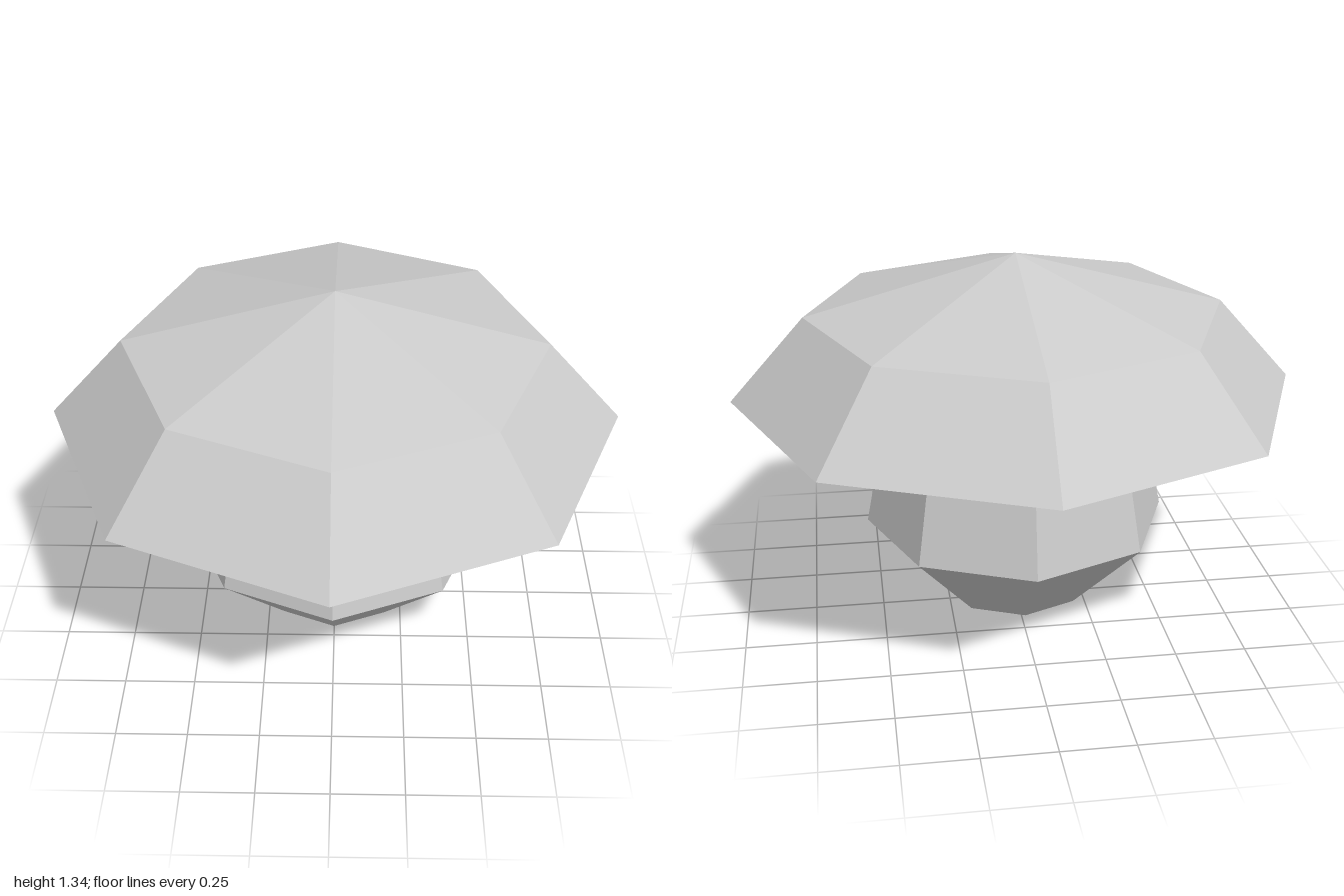
import * as THREE from 'three';

const SIDES = 8;

// Faceted solid of revolution from an [radius, height] profile, listed bottom to top
function facetedLathe(name, profile, material) {
  const points = profile.map(([r, y]) => new THREE.Vector2(r, y));
  const mesh = new THREE.Mesh(new THREE.LatheGeometry(points, SIDES), material);
  mesh.name = name;
  return mesh;
}

export function createModel() {
  const model = new THREE.Group();
  model.name = 'mushroom';
  const material = new THREE.MeshStandardMaterial({ color: 0xcccccc, flatShading: true });

  // Stem: shallow point, rounded foot, widest ring, then tapering up into the cap
  model.add(facetedLathe('stem', [[0, 0], [0.265, 0.06], [0.545, 0.353], [0.433, 0.93]], material));

  // Cap: underside rising inwards to the stem, rim, sloped side, low pointed top
  model.add(facetedLathe('cap', [[0.433, 0.93], [1, 0.84], [0.735, 1.135], [0, 1.335]], material));

  return model;
}
